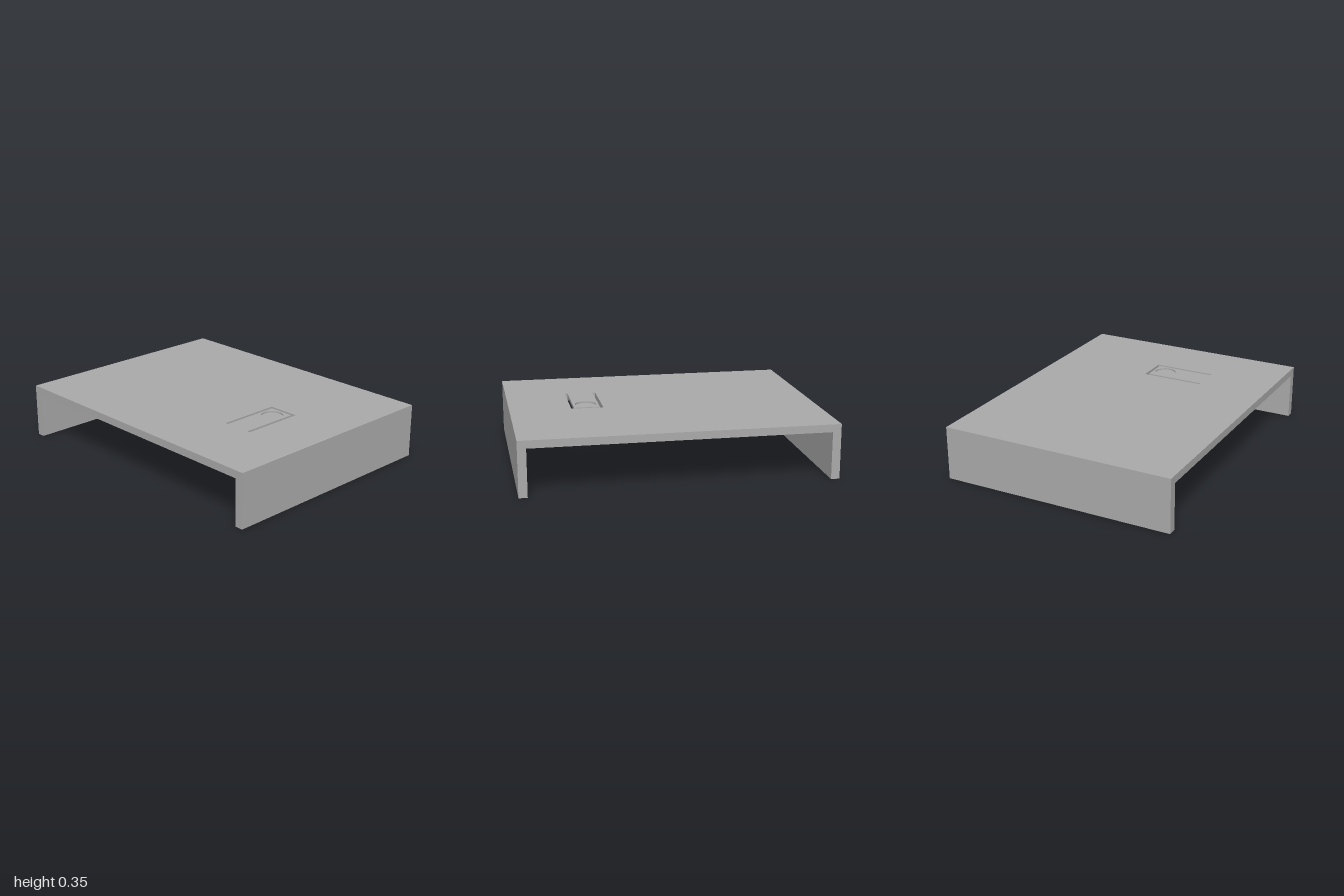
import * as THREE from 'three';

const W = 0.777, TOP = 0.355, UNDER = 0.305, LEG = 0.055;

// Outline in plan: x and z ranges
function rect(path, x0, x1, z0, z1) {
  path.moveTo(x0, -z0).lineTo(x0, -z1).lineTo(x1, -z1).lineTo(x1, -z0).closePath();
  return path;
}

// Raise a plan outline into a slab between two heights
function slab(shape, y0, y1) {
  const g = new THREE.ExtrudeGeometry(shape, { depth: y1 - y0, bevelEnabled: false, curveSegments: 32 });
  return g.rotateX(-Math.PI / 2).translate(0, y0, 0);
}

export function createModel() {
  const model = new THREE.Group();
  const grey = new THREE.MeshStandardMaterial({ color: 0xaaaaaa });
  grey.name = 'plain grey';
  const add = (name, geometry) => {
    const mesh = new THREE.Mesh(geometry, grey);
    mesh.name = name;
    model.add(mesh);
    return mesh;
  };

  // Top plate with the opening for the spring button
  const plate = rect(new THREE.Shape(), -W, W, -1, 1);
  plate.holes.push(rect(new THREE.Path(), -0.32, 0.095, 0.39, 0.6));
  add('topPlate', slab(plate, UNDER, TOP));

  // Side walls, each with a shallow groove along its foot
  for (const [name, s] of [['frontLeg', 1], ['backLeg', -1]]) {
    const mid = s * (1 - LEG / 2), h = LEG / 2, groove = 0.02;
    add(name, slab(rect(new THREE.Shape(), -W, W, mid - h, mid + h), groove, UNDER));
    const foot = rect(new THREE.Shape(), -W, W, mid - h, mid + h);
    foot.holes.push(rect(new THREE.Path(), -0.68, 0.68, mid - 0.016, mid + 0.016));
    add(name + 'Foot', slab(foot, 0, groove));
  }

  // Thin spring tongue: ramped underside at the hinge end
  const profile = new THREE.Shape([
    [-0.32, 0.345], [-0.32, UNDER], [-0.22, 0.335], [0.075, 0.335], [0.075, 0.345],
  ].map(([x, y]) => new THREE.Vector2(x, y)));
  const tongue = new THREE.ExtrudeGeometry(profile, { depth: 0.17, bevelEnabled: false });
  add('buttonTongue', tongue.translate(0, 0, 0.41));

  // Tongue surface with a round finger recess
  const skin = rect(new THREE.Shape(), -0.32, 0.075, 0.41, 0.58);
  skin.holes.push(new THREE.Path().absarc(-0.01, -0.495, 0.07, 0, Math.PI * 2, true));
  add('buttonSurface', slab(skin, 0.345, TOP));

  // Peg under the button
  const peg = add('buttonPeg', new THREE.CylinderGeometry(0.035, 0.035, 0.03, 32));
  peg.position.set(-0.01, 0.32, 0.495);

  return model;
}
